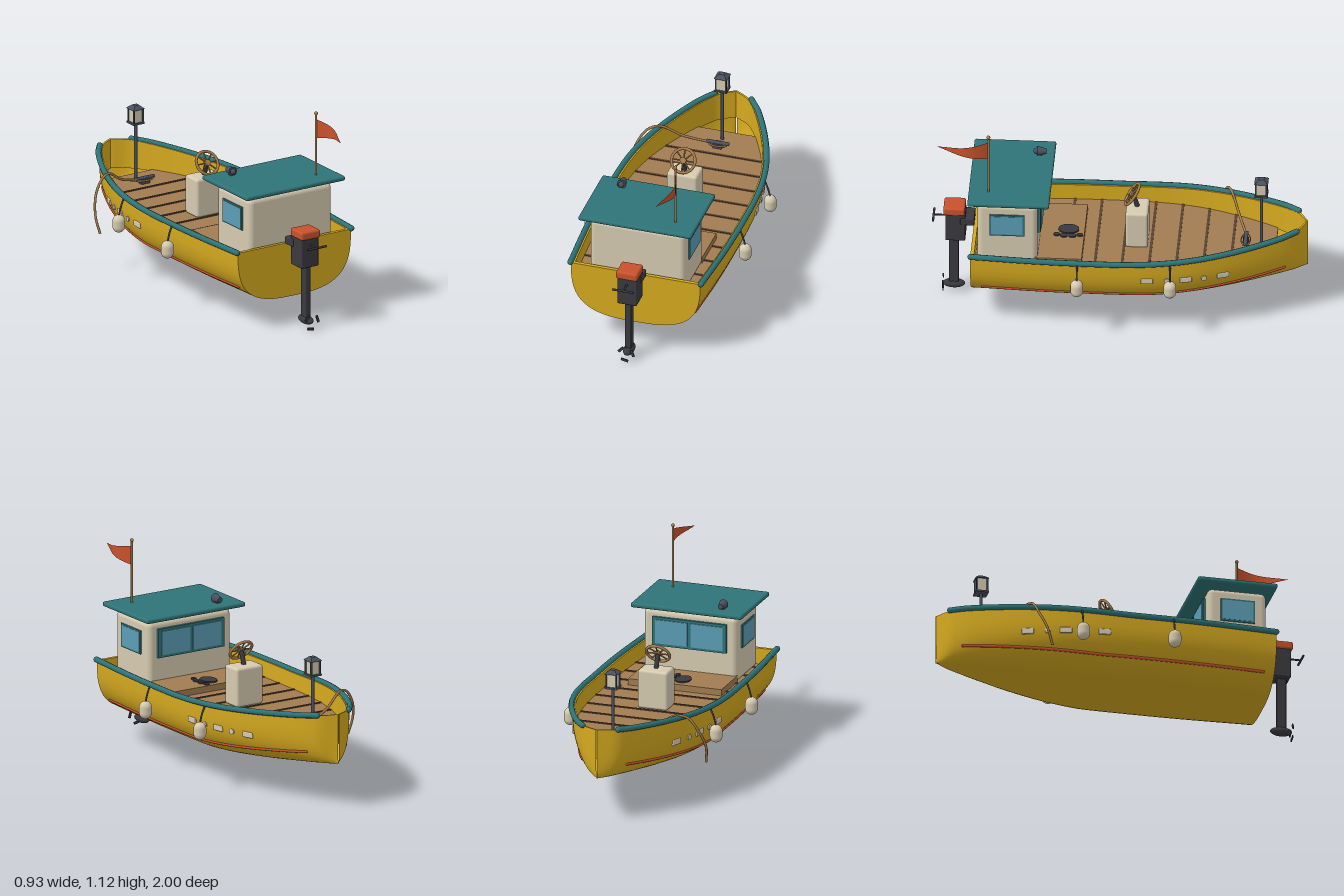
import * as THREE from 'three';
import { toCreasedNormals } from 'three/addons/utils/BufferGeometryUtils.js';
import { RoundedBoxGeometry } from 'three/addons/geometries/RoundedBoxGeometry.js';

const V = (x, y, z) => new THREE.Vector3(x, y, z);
const mat = (name, color, side = THREE.FrontSide) => {
  const m = new THREE.MeshStandardMaterial({ color, side });
  m.name = name;
  return m;
};

// Hull lines: half width, sheer height and keel height along z
const plan = new THREE.CatmullRomCurve3([
  [0.36, 0.775], [0.383, 0.4], [0.388, 0.1], [0.38, -0.2], [0.35, -0.4], [0.287, -0.6],
  [0.2, -0.79], [0.135, -0.9], [0.095, -0.947], [0.004, -1],
].map(([x, z]) => V(x, 0, z)), false, 'centripetal').getPoints(72);
const halfWidth = (z) => {
  let i = 1;
  while (i < plan.length - 1 && plan[i].z > z) i++;
  const a = plan[i - 1], b = plan[i];
  return a.x + (b.x - a.x) * THREE.MathUtils.clamp((z - a.z) / (b.z - a.z), 0, 1);
};
const sheer = (z) => 0.459 + 0.066 * Math.pow(Math.max(0, -z), 1.4);
const keel = (z) => 0.155 + 0.097 * Math.pow(Math.max(0, (-0.15 - z) / 0.85), 1.25);
const hullX = (z, y) => {
  const d = (sheer(z) - y) / (sheer(z) - keel(z));
  return halfWidth(z) * Math.cbrt(1 - d * d * d);
};
const DECK = 0.37, WALL = 0.02;

// Outer cross-section from one gunwale under the keel to the other
function section(z, n = 28) {
  const w = halfWidth(z), top = sheer(z), h = top - keel(z), pts = [];
  for (let k = 0; k <= n; k++) {
    const a = (Math.PI * k) / n, c = Math.cos(a);
    pts.push([-w * Math.sign(c) * Math.pow(Math.abs(c), 2 / 3), top - h * Math.pow(Math.abs(Math.sin(a)), 2 / 3)]);
  }
  return pts;
}

function hullGeometry() {
  const pos = [], index = [];
  let cols = 0;
  plan.forEach(({ x, z }) => {
    const inner = Math.max(x - WALL, 0), top = sheer(z);
    const row = [[-inner, DECK - 0.01], [-inner, top], ...section(z), [inner, top], [inner, DECK - 0.01]];
    cols = row.length;
    row.forEach(([px, py]) => pos.push(px, py, z));
  });
  for (let i = 0; i < plan.length - 1; i++) {
    for (let j = 0; j < cols - 1; j++) {
      const a = i * cols + j, b = a + cols;
      index.push(a, b, a + 1, a + 1, b, b + 1);
    }
  }
  const g = new THREE.BufferGeometry();
  g.setAttribute('position', new THREE.Float32BufferAttribute(pos, 3));
  g.setIndex(index);
  return toCreasedNormals(g, 0.6);
}

export function createModel() {
  const boat = new THREE.Group();
  boat.name = 'boat';
  const yellow = mat('hull yellow', 0xd6aa1f, THREE.DoubleSide);
  const teal = mat('trim teal', 0x2e7478);
  const cream = mat('cream paint', 0xd6cbb1);
  const wood = mat('deck wood', 0xa17c52);
  const seam = mat('seam brown', 0x5a4231);
  const dark = mat('engine dark', 0x3a393f);
  const slate = mat('slate metal', 0x4a515d);
  const orange = mat('orange red', 0xc8522c, THREE.DoubleSide);
  const tan = mat('rope tan', 0xa67c4a);
  const glass = mat('window blue', 0x5b9db6);

  const add = (name, geo, m, x = 0, y = 0, z = 0, parent = boat) => {
    const mesh = new THREE.Mesh(geo, m);
    mesh.name = name;
    mesh.position.set(x, y, z);
    parent.add(mesh);
    return mesh;
  };
  const box = (w, h, d) => new THREE.BoxGeometry(w, h, d);
  const rbox = (w, h, d, r) => new RoundedBoxGeometry(w, h, d, 3, r);
  const rod = (r, h, r2 = r) => new THREE.CylinderGeometry(r2, r, h, 16);
  const tube = (pts, r, n = 40) => new THREE.TubeGeometry(new THREE.CatmullRomCurve3(pts), n, r, 8);

  // Hull and transom
  add('hull', hullGeometry(), yellow);
  const stern = new THREE.Shape(section(0.775).map(([x, y]) => new THREE.Vector2(x, y)));
  add('transom', new THREE.ExtrudeGeometry(stern, { depth: 0.02, bevelEnabled: false }), yellow, 0, 0, 0.757);

  // Deck with dark plank seams
  const edge = [];
  for (let k = 0; k <= 40; k++) {
    const z = 0.76 - (1.59 * k) / 40;
    edge.push([halfWidth(z) - WALL + 0.002, z]);
  }
  const outline = [...edge, ...edge.slice().reverse().map(([x, z]) => [-x, z])];
  const deckShape = new THREE.Shape(outline.map(([x, z]) => new THREE.Vector2(x, -z)));
  const deck = add('deck', new THREE.ExtrudeGeometry(deckShape, { depth: 0.02, bevelEnabled: false }), wood, 0, DECK - 0.02, 0);
  deck.rotation.x = -Math.PI / 2;
  for (let k = 0; k < 10; k++) {
    const z = -0.6 + 0.144 * k;
    add('plankSeam', box(2 * (halfWidth(z) - WALL), 0.006, 0.014), seam, 0, DECK + 0.001, z);
  }
  add('deckStep', box(0.53, 0.035, 0.25), wood, 0, DECK + 0.0175, 0.315);

  // Dark oval pads on the step
  [[-0.018, 0.275, 0.043, 0.055], [0.035, 0.213, 0.014, 0.017], [0.045, 0.253, 0.016, 0.02],
    [0.045, 0.298, 0.016, 0.02], [0.035, 0.337, 0.014, 0.017]].forEach(([x, z, rx, rz]) => {
    add('ovalPad', new THREE.CylinderGeometry(1, 1, 0.008, 24), dark, x, DECK + 0.038, z).scale.set(rx, 1, rz);
  });

  // Mirrored side trim: rail, stripe, hull plates, fenders
  for (const s of [1, -1]) {
    const rail = [], stripe = [];
    for (let k = 0; k <= 24; k++) {
      const z = 0.775 - (1.72 * k) / 24;
      rail.push(V(s * (halfWidth(z) + 0.004), sheer(z) + 0.002, z));
      const q = 0.715 - (1.595 * k) / 24;
      const y = 0.243 + 0.067 * Math.pow(Math.max(0, (-0.15 - q) / 0.73), 1.3);
      stripe.push(V(s * hullX(q, y), y, q));
    }
    add('rail', tube(rail, 0.016, 80), teal);
    add('hullStripe', tube(stripe, 0.008, 80), orange);
    for (const p of [rail[0], rail[24]]) add('railEnd', new THREE.SphereGeometry(0.016, 12, 8), teal, p.x, p.y, p.z);
    for (const p of [stripe[0], stripe[24]]) add('stripeEnd', new THREE.SphereGeometry(0.008, 8, 6), orange, p.x, p.y, p.z);

    [-0.165, -0.27, -0.37, -0.465, -0.565].forEach((z, i) => {
      const y = 0.355, yaw = Math.atan2(hullX(z + 0.03, y) - hullX(z - 0.03, y), 0.06);
      const g = i % 2 ? new THREE.CylinderGeometry(0.015, 0.015, 0.014, 20).rotateZ(Math.PI / 2) : rbox(0.014, 0.032, 0.066, 0.005);
      add(i % 2 ? 'roundPort' : 'hullPlate', g, cream, s * hullX(z, y), y, z).rotation.y = s * yaw;
    });

    for (const z of [0.205, -0.29]) {
      const w = halfWidth(z), x = w + 0.043;
      add('fender', new THREE.CapsuleGeometry(0.034, 0.03, 8, 20), cream, s * x, 0.33, z);
      add('fenderRope', tube([V(s * (w + 0.012), 0.465, z), V(s * (w + 0.03), 0.42, z), V(s * x, 0.37, z)], 0.005, 10), slate);
    }
  }

  // Cabin, roof and windows
  const cabin = new THREE.Group();
  cabin.name = 'cabin';
  boat.add(cabin);
  add('cabinWalls', rbox(0.53, 0.365, 0.32, 0.03), cream, 0, 0.5475, 0.585, cabin);
  add('cabinRoof', rbox(0.63, 0.026, 0.435, 0.011), teal, 0, 0.757, 0.578, cabin);
  add('frontWindowFrame', box(0.42, 0.16, 0.02), teal, 0, 0.61, 0.421, cabin);
  for (const s of [1, -1]) {
    add('frontPane', box(0.18, 0.132, 0.008), glass, s * 0.1, 0.61, 0.41, cabin);
    add('sideWindowFrame', box(0.014, 0.13, 0.186), teal, s * 0.265, 0.607, 0.587, cabin);
    add('sidePane', box(0.006, 0.112, 0.168), glass, s * 0.271, 0.607, 0.587, cabin);
  }

  // Roof spotlight
  add('spotlightFoot', rod(0.012, 0.02), slate, -0.18, 0.778, 0.435);
  add('spotlight', rod(0.026, 0.05, 0.014).rotateX(-Math.PI / 2), slate, -0.18, 0.792, 0.43);
  add('spotlightBack', new THREE.SphereGeometry(0.016, 16, 12), slate, -0.18, 0.792, 0.458);

  // Flag and pole
  add('flagPole', rod(0.006, 0.35), tan, 0.195, 0.94, 0.69);
  add('poleBall', new THREE.SphereGeometry(0.01, 16, 12), tan, 0.195, 1.115, 0.69);
  const flag = new THREE.PlaneGeometry(1, 1, 16, 1), fp = flag.attributes.position;
  for (let i = 0; i < fp.count; i++) {
    const u = fp.getX(i) + 0.5, v = fp.getY(i);
    fp.setXYZ(i, 0.195 + 0.028 * Math.sin(u * Math.PI * 1.3), 1.03 + v * 0.105 * (1 - u), 0.69 + 0.275 * u);
  }
  flag.computeVertexNormals();
  add('flag', flag, orange);

  // Helm console and steering wheel
  add('console', rbox(0.17, 0.215, 0.12, 0.015), cream, 0, 0.4775, -0.092);
  add('wheelColumn', tube([V(0, 0.575, -0.092), V(0, 0.62, -0.08), V(0, 0.653, -0.066)], 0.013, 12), dark);
  const wheel = new THREE.Group();
  wheel.name = 'steeringWheel';
  wheel.position.set(0, 0.657, -0.064);
  wheel.rotation.x = -0.61;
  boat.add(wheel);
  add('wheelRim', new THREE.TorusGeometry(0.065, 0.008, 10, 36), tan, 0, 0, 0, wheel);
  add('wheelHub', rod(0.017, 0.02).rotateX(Math.PI / 2), tan, 0, 0, 0, wheel);
  for (let k = 0; k < 4; k++) add('wheelSpokes', rod(0.004, 0.13), tan, 0, 0, 0, wheel).rotation.z = (k * Math.PI) / 4;

  // Bow lantern
  add('lanternPost', rod(0.009, 0.32), slate, 0, 0.53, -0.752);
  add('lanternBase', box(0.07, 0.01, 0.07), slate, 0, 0.688, -0.752);
  add('lanternGlass', box(0.05, 0.08, 0.05), cream, 0, 0.73, -0.752);
  for (const x of [-0.028, 0.028]) for (const z of [-0.78, -0.724]) add('lanternBar', box(0.008, 0.085, 0.008), slate, x, 0.728, z);
  const cap = new THREE.CylinderGeometry(0.02, 0.052, 0.02, 4).rotateY(Math.PI / 4);
  add('lanternCap', toCreasedNormals(cap, 0.3), slate, 0, 0.776, -0.752);

  // Mooring cleat and rope
  add('cleatFoot', box(0.05, 0.025, 0.03), slate, 0, 0.38, -0.668);
  add('cleatBar', rbox(0.13, 0.016, 0.022, 0.006), slate, 0, 0.4, -0.668);
  add('ropeCoil', new THREE.TorusGeometry(0.05, 0.006, 8, 32).rotateX(Math.PI / 2), tan, 0, 0.392, -0.668).scale.z = 0.5;
  add('mooringRope', tube([V(-0.045, 0.395, -0.668), V(-0.18, 0.44, -0.62), V(-0.29, 0.505, -0.575), V(-0.35, 0.49, -0.55),
    V(-0.4, 0.42, -0.53), V(-0.43, 0.32, -0.49), V(-0.42, 0.225, -0.46)], 0.007), tan);

  // Outboard motor
  const motor = new THREE.Group();
  motor.name = 'outboardMotor';
  boat.add(motor);
  add('motorCowl', rbox(0.12, 0.046, 0.115, 0.012), orange, 0, 0.537, 0.882, motor);
  add('motorBody', rbox(0.108, 0.165, 0.106, 0.006), dark, 0, 0.437, 0.876, motor);
  add('motorClamp', rbox(0.12, 0.042, 0.075, 0.006), dark, 0, 0.478, 0.812, motor);
  add('tillerArm', rod(0.005, 0.07).rotateX(Math.PI / 2), dark, 0, 0.482, 0.96, motor);
  add('tillerGrip', rod(0.006, 0.12).rotateZ(Math.PI / 2), dark, 0, 0.482, 0.994, motor);
  add('motorLeg', rbox(0.034, 0.32, 0.052, 0.006), dark, 0, 0.21, 0.886, motor);
  add('gearCase', new THREE.SphereGeometry(1, 24, 16), dark, 0, 0.052, 0.886, motor).scale.set(0.029, 0.024, 0.06);
  for (let k = 0; k < 3; k++) {
    const a = 0.31 + (k * Math.PI * 2) / 3;
    add('propellerBlade', box(0.014, 0.04, 0.006), dark, 0.038 * Math.cos(a), 0.052 + 0.038 * Math.sin(a), 0.944, motor).rotation.z = a;
  }
  return boat;
}
